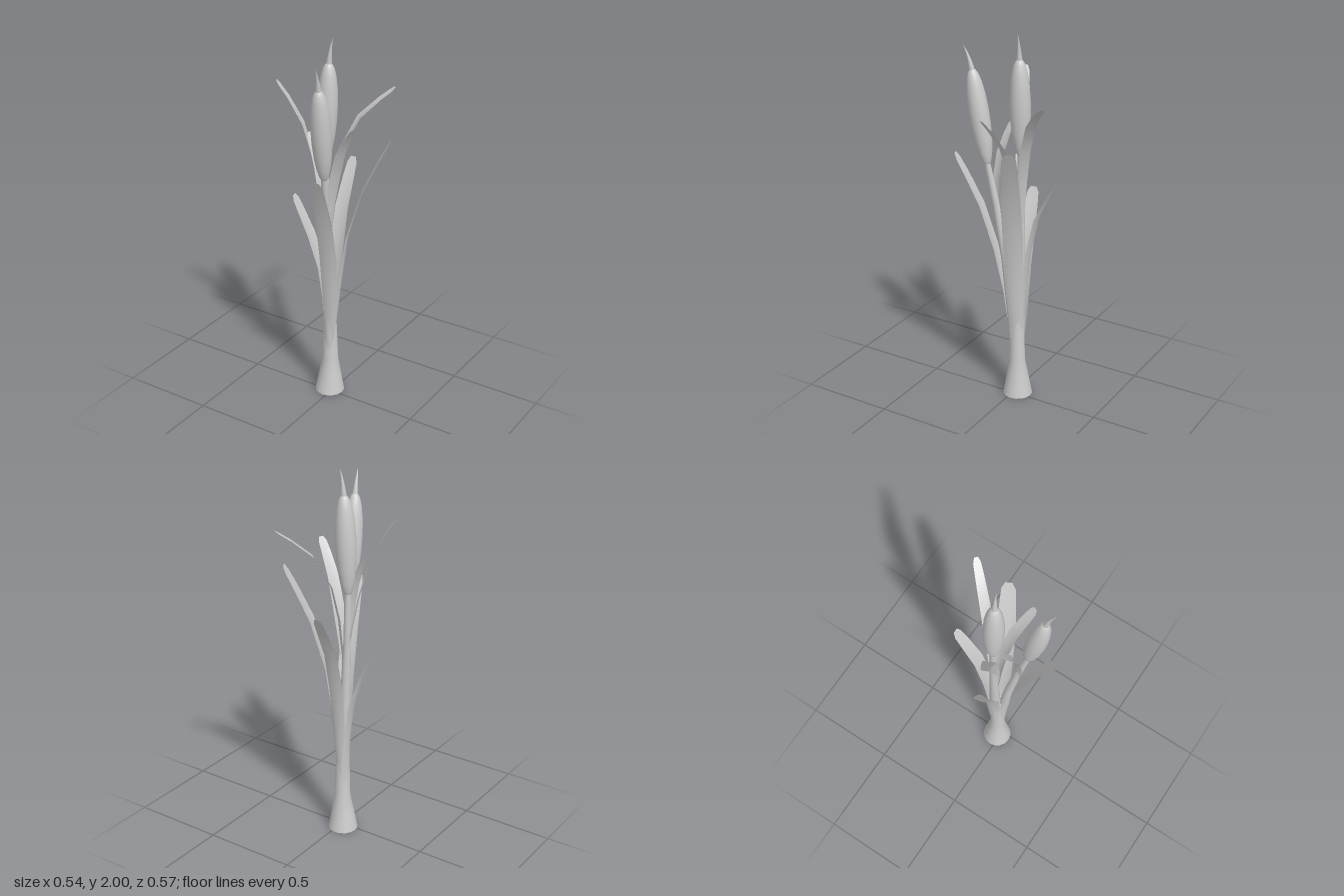
import * as THREE from 'three';

const V = (a) => new THREE.Vector3(...a);

// Indexed surface from rows of points; wrap closes each row into a ring
function loft(rows, wrap, caps) {
  const n = rows[0].length, pos = [], idx = [];
  rows.forEach((r) => r.forEach((p) => pos.push(p.x, p.y, p.z)));
  for (let i = 0; i < rows.length - 1; i++) {
    for (let j = 0; j < (wrap ? n : n - 1); j++) {
      const k = (j + 1) % n, a = i * n + j, b = i * n + k;
      idx.push(a, a + n, b, b, a + n, b + n);
    }
  }
  if (caps) {
    // flat ends with their own vertices
    [rows[0], rows[rows.length - 1]].forEach((r, e) => {
      const s = pos.length / 3;
      r.forEach((p) => pos.push(p.x, p.y, p.z));
      for (let j = 1; j < n - 1; j++) idx.push(s, ...(e ? [s + j + 1, s + j] : [s + j, s + j + 1]));
    });
  }
  const g = new THREE.BufferGeometry();
  g.setAttribute('position', new THREE.Float32BufferAttribute(pos, 3));
  g.setIndex(idx);
  g.computeVertexNormals();
  return g;
}

// Round body: each entry is [x, y, z, radius]
function roundBody(rings, sides = 16) {
  const rows = rings.map(([x, y, z, r], i) => {
    const a = V(rings[Math.max(0, i - 1)].slice(0, 3));
    const b = V(rings[Math.min(rings.length - 1, i + 1)].slice(0, 3));
    const dir = i === 0 && y === 0 ? new THREE.Vector3(0, 1, 0) : b.sub(a).normalize();
    const q = new THREE.Quaternion().setFromUnitVectors(new THREE.Vector3(0, 1, 0), dir);
    return Array.from({ length: sides }, (_, j) => {
      const t = (j / sides) * Math.PI * 2;
      return new THREE.Vector3(Math.cos(t) * r, 0, Math.sin(t) * r).applyQuaternion(q).add(new THREE.Vector3(x, y, z));
    });
  });
  return loft(rows, true, true);
}

// Blade with a blunt tip: cupped around the stem at its foot, flattening upwards
function blade(points, width) {
  const curve = new THREE.CatmullRomCurve3(points.map(V));
  const out = V(points[points.length - 1]).sub(V(points[points.length - 3])).setY(0).normalize();
  const side = new THREE.Vector3(out.z, 0, -out.x);
  const profile = [[0, 0.1], [0.15, 0.6], [0.35, 0.9], [0.55, 1], [0.75, 0.95], [0.9, 0.8], [0.97, 0.68], [1, 0.35]];
  const rows = profile.map(([t, w]) => {
    const c = curve.getPointAt(t);
    const inward = new THREE.Vector3().crossVectors(curve.getTangentAt(t), side).normalize();
    if (inward.dot(out) > 0) inward.negate();
    return [-1, -0.6, 0, 0.6, 1].map((s) => c.clone()
      .addScaledVector(side, s * w * width / 2)
      .addScaledVector(inward, s * s * w * width * 0.22 * (1 - t)));
  });
  return loft(rows, false, false);
}

// Seed head between two points with a curved spike on top
function head(bottom, top, tip, radius) {
  const b = V(bottom), t = V(top), e = V(tip);
  const shape = [[0, 0.3], [0.04, 0.48], [0.12, 0.68], [0.25, 0.87], [0.42, 0.99], [0.58, 1],
    [0.74, 0.92], [0.87, 0.75], [0.95, 0.54], [0.99, 0.33], [1, 0.15]];
  const body = shape.map(([u, r]) => [...b.clone().lerp(t, u).toArray(), r * radius]);
  const dir = t.clone().sub(b).normalize();
  const start = t.clone().addScaledVector(dir, -0.03);
  const mid = t.clone().addScaledVector(dir, t.distanceTo(e) * 0.45);
  const curve = new THREE.QuadraticBezierCurve3(start, mid, e);
  const spike = [0, 0.25, 0.5, 0.75, 1].map((u) => [...curve.getPoint(u).toArray(), 0.016 * (1 - u) + 0.001]);
  return [roundBody(body, 20), roundBody(spike, 10)];
}

export function createModel() {
  const model = new THREE.Group();
  const solid = new THREE.MeshStandardMaterial({ color: 0xcccccc });
  const thin = new THREE.MeshStandardMaterial({ color: 0xcccccc, side: THREE.DoubleSide });
  const add = (name, geometry, material = solid) => {
    const m = new THREE.Mesh(geometry, material);
    m.name = name;
    model.add(m);
  };

  // Flared foot and the sheath around the lower stems
  add('base', roundBody([[-0.022, 0, -0.021, 0.079], [-0.02, 0.1, -0.021, 0.061], [-0.018, 0.2, -0.021, 0.043],
    [-0.018, 0.4, -0.018, 0.037], [-0.018, 0.6, -0.012, 0.027]]));

  // Stems
  add('tallStem', roundBody([[-0.02, 0.2, -0.021, 0.036], [-0.028, 0.5, -0.025, 0.032], [-0.038, 0.8, -0.024, 0.026],
    [-0.048, 1.1, -0.022, 0.02], [-0.05, 1.4, -0.021, 0.016]], 12));
  add('shortStem', roundBody([[-0.015, 0.2, -0.015, 0.03], [-0.008, 0.5, 0.006, 0.028], [0.005, 0.8, 0.038, 0.023],
    [0.022, 1.1, 0.083, 0.019], [0.042, 1.36, 0.13, 0.015]], 12));

  // Seed heads
  const heads = {
    tall: head([-0.05, 1.365, -0.021], [-0.028, 1.875, -0.024], [-0.008, 2, -0.026], 0.053),
    short: head([0.04, 1.325, 0.124], [0.057, 1.815, 0.198], [0.068, 1.93, 0.238], 0.051),
  };
  for (const [name, [body, spike]] of Object.entries(heads)) {
    add(name + 'SeedHead', body);
    add(name + 'Spike', spike);
  }

  // Long leaves from the foot, then narrow leaves from the stems
  const leaves = {
    backLeftLeaf: [0.105, [0, 0.25, -0.022], [0.03, 0.55, -0.03], [0.085, 1, -0.05], [0.15, 1.22, -0.075], [0.263, 1.49, -0.135]],
    frontLeaf: [0.09, [-0.01, 0.2, 0.012], [0.012, 0.55, 0.035], [0.045, 1, 0.12], [0.062, 1.17, 0.185], [0.093, 1.375, 0.282]],
    backLeaf: [0.08, [-0.02, 0.25, -0.05], [-0.02, 0.6, -0.065], [-0.021, 1, -0.117], [-0.024, 1.13, -0.17], [-0.03, 1.3, -0.26]],
    rightLeaf: [0.09, [-0.05, 0.25, -0.025], [-0.07, 0.65, -0.022], [-0.095, 0.8, -0.018], [-0.135, 0.92, -0.012], [-0.226, 1.135, 0.004]],
    upperRightLeaf: [0.065, [-0.035, 0.8, -0.02], [-0.055, 1.08, -0.01], [-0.115, 1.4, 0.008], [-0.17, 1.6, 0.035], [-0.268, 1.775, 0.082]],
    upperBackLeaf: [0.056, [-0.035, 0.9, -0.035], [-0.015, 1.2, -0.05], [0.01, 1.4, -0.08], [0.075, 1.58, -0.15], [0.2, 1.72, -0.28]],
    upperLeftLeaf: [0.066, [-0.03, 0.8, -0.01], [-0.012, 1.08, -0.008], [0.025, 1.28, 0], [0.075, 1.44, 0.022], [0.178, 1.6, 0.072]],
    innerLeaf: [0.06, [0.008, 0.85, 0.045], [0.01, 1.1, 0.078], [-0.004, 1.3, 0.088], [-0.04, 1.42, 0.076], [-0.092, 1.53, 0.055]],
  };
  for (const [name, [width, ...path]] of Object.entries(leaves)) add(name, blade(path, width), thin);
  return model;
}
